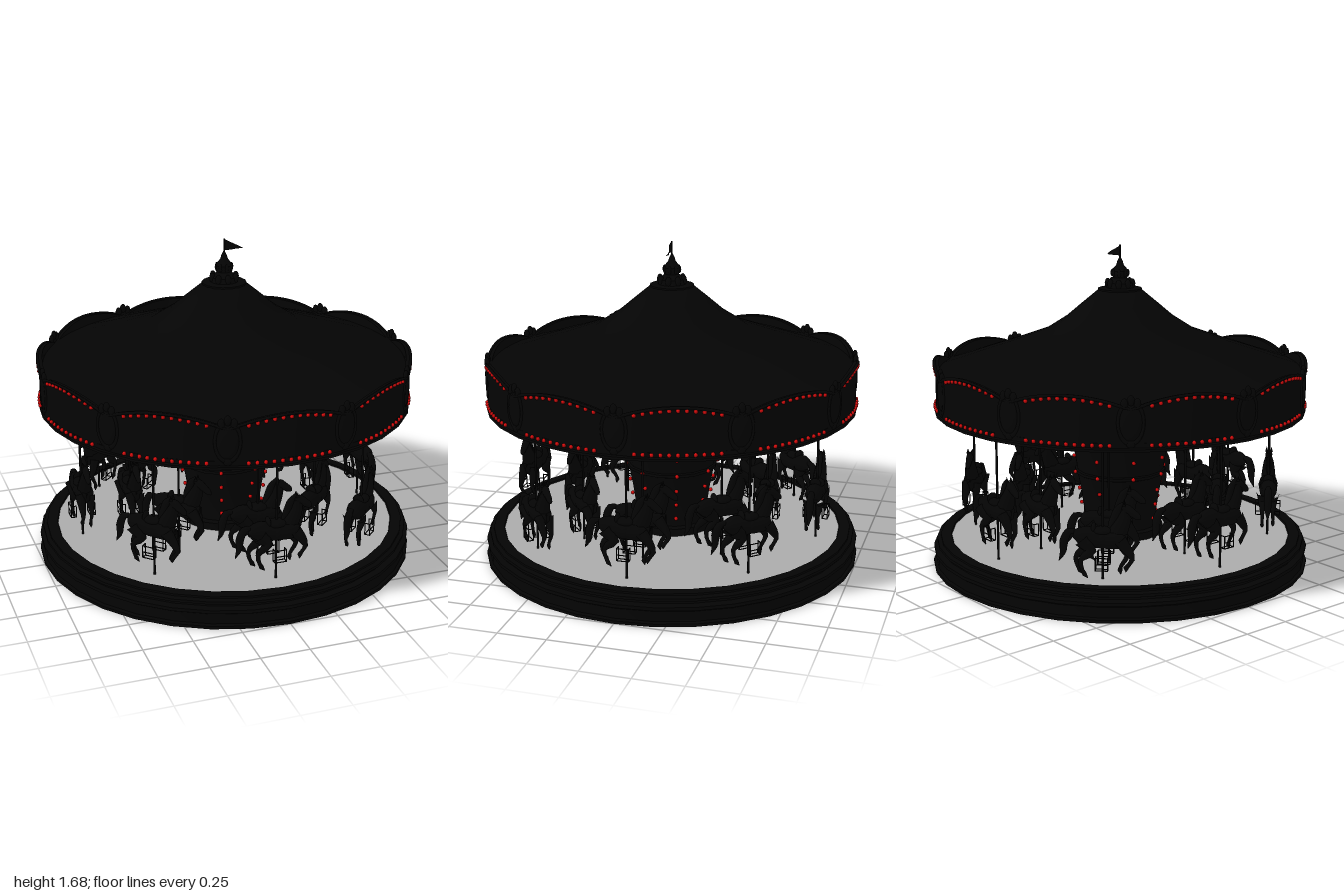
import * as THREE from 'three';
import { mergeGeometries, toCreasedNormals } from 'three/addons/utils/BufferGeometryUtils.js';

const dark = new THREE.MeshStandardMaterial({ color: 0x040404 });
const darkThin = new THREE.MeshStandardMaterial({ color: 0x040404, side: THREE.DoubleSide });
const red = new THREE.MeshStandardMaterial({ color: 0xe00c0c });
const grey = new THREE.MeshStandardMaterial({ color: 0xb0b0b0, side: THREE.DoubleSide });
const TAU = Math.PI * 2, PANELS = 10, STEP = TAU / PANELS, RIM = 0.965;

const add = (parent, name, geometry, material = dark) => {
  const mesh = new THREE.Mesh(geometry, material);
  mesh.name = name;
  parent.add(mesh);
  return mesh;
};
const merge = (list) => mergeGeometries(list.map((g) => (g.index ? g.toNonIndexed() : g)));
const lathe = (pts, seg = 32) =>
  toCreasedNormals(new THREE.LatheGeometry(pts.map(([r, y]) => new THREE.Vector2(r, y)), seg), 0.45);
const polar = (r, a, y) => new THREE.Vector3(r * Math.sin(a), y, r * Math.cos(a));
const box = (w, h, d, x, y, z) => new THREE.BoxGeometry(w, h, d).translate(x, y, z);
const blob = (sx, sy, sz, x, y, z) => new THREE.SphereGeometry(1, 12, 8).scale(sx, sy, sz).translate(x, y, z);

// Tapered tube through points [x, y, z, radius]
function limb(pts, flat = 1, rings = 10, sides = 8) {
  const z0 = pts[0][2];
  const curve = new THREE.CatmullRomCurve3(pts.map(([x, y, z]) => new THREE.Vector3(x, y, z)));
  const geo = new THREE.TubeGeometry(curve, rings, 1, sides);
  const pos = geo.attributes.position, v = new THREE.Vector3();
  for (let i = 0; i <= rings; i++) {
    const c = curve.getPointAt(i / rings);
    const t = curve.getUtoTmapping(i / rings) * (pts.length - 1);
    const k = Math.min(Math.floor(t), pts.length - 2);
    const r = THREE.MathUtils.lerp(pts[k][3], pts[k + 1][3], t - k);
    for (let j = 0; j <= sides; j++) {
      const n = i * (sides + 1) + j;
      v.fromBufferAttribute(pos, n).sub(c).multiplyScalar(r).add(c);
      pos.setXYZ(n, v.x, v.y, z0 + (v.z - z0) * flat);
    }
  }
  return geo;
}

// Galloping horse, heading +x, pole through the origin
function horseGeometry() {
  const parts = [
    // barrel, neck, head, mane, tail
    limb([[-0.145, 0, 0, 0.004], [-0.13, 0.008, 0, 0.034], [-0.085, 0.008, 0, 0.052], [0, -0.004, 0, 0.047],
      [0.07, 0.002, 0, 0.055], [0.105, 0.012, 0, 0.038], [0.12, 0.018, 0, 0.004]], 0.9, 16, 12),
    limb([[0.055, 0, 0, 0.05], [0.085, 0.06, 0, 0.044], [0.107, 0.115, 0, 0.032], [0.108, 0.165, 0, 0.01]], 0.8),
    limb([[0.088, 0.16, 0, 0.006], [0.113, 0.15, 0, 0.027], [0.145, 0.13, 0, 0.021],
      [0.172, 0.11, 0, 0.017], [0.184, 0.1, 0, 0.003]], 0.75),
    limb([[0.1, 0.18, 0, 0.008], [0.072, 0.145, 0, 0.02], [0.05, 0.085, 0, 0.022], [0.025, 0.04, 0, 0.006]], 0.6),
    limb([[-0.13, 0.03, 0, 0.01], [-0.165, 0.03, 0, 0.018], [-0.19, -0.02, 0, 0.022],
      [-0.195, -0.075, 0, 0.016], [-0.215, -0.12, 0, 0.002]]),
    // saddle, backrest, blanket
    blob(0.055, 0.02, 0.042, 0, 0.04, 0), blob(0.012, 0.03, 0.03, -0.045, 0.05, 0),
    blob(0.05, 0.046, 0.047, 0, -0.002, 0),
  ];
  for (const s of [-1, 1]) {
    const lift = s > 0 ? 0.03 : 0;
    const f = 0.026 * s, b = 0.028 * s;
    parts.push(
      limb([[0.085, 0, f, 0.034], [0.1 + lift, -0.06, f, 0.022], [0.115 + lift, -0.095, f, 0.013],
        [0.085 + lift * 1.5, -0.15 + lift, f, 0.009], [0.08 + lift, -0.18 + lift, f, 0.014],
        [0.085 + lift, -0.19 + lift, f, 0.002]], 0.8),
      limb([[-0.1, 0, b, 0.042], [-0.085 + lift, -0.055, b, 0.028], [-0.135 + lift, -0.105, b, 0.013],
        [-0.125 + lift, -0.16, b, 0.009], [-0.11 + lift, -0.185, b, 0.014], [-0.1 + lift, -0.195, b, 0.002]], 0.8),
      new THREE.ConeGeometry(0.009, 0.028, 6).translate(0.104, 0.18, 0.012 * s));
    // Wire foot rest
    for (const x of [-0.03, 0.03]) {
      for (const y of [-0.082, -0.145]) parts.push(box(0.004, 0.004, 0.03, x, y, 0.05 * s));
      for (const z of [0.037, 0.064]) parts.push(box(0.004, 0.066, 0.004, x, -0.114, z * s));
    }
    for (const y of [-0.082, -0.115, -0.145]) parts.push(box(0.06, 0.004, 0.004, 0, y, 0.064 * s));
    parts.push(box(0.06, 0.004, 0.004, 0, -0.145, 0.037 * s));
  }
  return merge(parts);
}

// Scalloped board height around the rim, one arch per panel
const panelOffset = (a) => a / STEP - Math.round(a / STEP);
const boardTop = (a) => 1.035 + 0.06 * (1 - (2 * panelOffset(a)) ** 2);

function boardGeometry() {
  const geo = new THREE.PlaneGeometry(1, 1, 160, 4), pos = geo.attributes.position;
  for (let i = 0; i < pos.count; i++) {
    const a = (pos.getX(i) + 0.5) * TAU;
    const k = Math.round((pos.getY(i) + 0.5) * 4) % 4;
    const p = polar(k === 1 || k === 2 ? RIM : RIM - 0.02, a, k === 2 || k === 3 ? boardTop(a) : 0.835);
    pos.setXYZ(i, p.x, p.y, p.z);
  }
  return toCreasedNormals(geo, 0.5);
}

export function createModel() {
  const model = new THREE.Group();
  const bulbs = [];
  const bulb = (p) => bulbs.push(new THREE.SphereGeometry(0.0105, 8, 5).translate(p.x, p.y, p.z));

  // Stepped platform, hollow underneath, with a floor seen through the central opening
  add(model, 'platform', lathe([[0.21, 0.14], [0.93, 0.14], [0.94, 0], [1, 0], [1, 0.015],
    [0.985, 0.022], [0.985, 0.075], [0.997, 0.083], [0.997, 0.1], [0.965, 0.108], [0.965, 0.118], [0.98, 0.124],
    [0.98, 0.138], [0.96, 0.146], [0.96, 0.156], [0.905, 0.156], [0.9, 0.145]]));
  add(model, 'floor', new THREE.CircleGeometry(0.91, 32).rotateX(-Math.PI / 2).translate(0, 0.148, 0), grey);

  // Flared centre column with mouldings
  const column = [[0.23, 0.15], [0.23, 0.19], [0.2, 0.195], [0.195, 0.27], [0.21, 0.37], [0.23, 0.475], [0.242, 0.48],
    [0.242, 0.495], [0.232, 0.5], [0.255, 0.64], [0.268, 0.7], [0.282, 0.708], [0.282, 0.725], [0.274, 0.73],
    [0.284, 0.79], [0.298, 0.8], [0.3, 0.86]];
  add(model, 'centreColumn', lathe(column, 16));
  const swags = [];
  for (let i = 0; i < 16; i++) {
    const a = (i * TAU) / 16;
    const arc = [-0.18, -0.09, 0, 0.09, 0.18].map((d) => polar(0.283, a + d, 0.745 + d * d * 1.1));
    swags.push(new THREE.TubeGeometry(new THREE.CatmullRomCurve3(arc), 8, 0.006, 5));
  }
  add(model, 'columnSwags', merge(swags));

  // Ceiling and tent roof
  add(model, 'ceiling', new THREE.RingGeometry(0.28, RIM - 0.012, 32).rotateX(Math.PI / 2).translate(0, 0.855, 0), darkThin);
  add(model, 'roof', new THREE.LatheGeometry([[0.955, 1.042], [0.85, 1.076], [0.72, 1.122], [0.59, 1.165], [0.4, 1.235],
    [0.28, 1.312], [0.2, 1.38], [0.11, 1.455], [0, 1.458]].map(([r, y]) => new THREE.Vector2(r, y)), 32), darkThin);

  // Finial and pennant
  add(model, 'finial', lathe([[0.105, 1.447], [0.115, 1.45], [0.115, 1.46], [0.072, 1.464], [0.068, 1.49], [0.052, 1.5],
    [0.036, 1.515], [0.046, 1.535], [0.046, 1.55], [0.03, 1.568], [0.02, 1.58], [0.014, 1.6], [0.004, 1.62],
    [0.004, 1.685], [0, 1.685]], 16));
  const knobs = [];
  for (let i = 0; i < 8; i++) {
    const low = polar(0.064, (i * TAU) / 8, 1.485), high = polar(0.04, (i * TAU) / 8, 1.54);
    knobs.push(blob(0.016, 0.026, 0.016, low.x, low.y, low.z), blob(0.01, 0.02, 0.01, high.x, high.y, high.z));
  }
  add(model, 'finialKnobs', merge(knobs));
  const flag = new THREE.PlaneGeometry(1, 1, 8, 1), fp = flag.attributes.position;
  for (let i = 0; i < fp.count; i++) {
    const u = fp.getX(i) + 0.5;
    fp.setXYZ(i, u * 0.105, fp.getY(i) > 0 ? 1.685 - 0.057 * u : 1.627, 0.006 * Math.sin(u * TAU));
  }
  flag.computeVertexNormals();
  add(model, 'flag', flag, darkThin);

  // Rounding boards, trims and shields
  add(model, 'roundingBoards', boardGeometry());
  add(model, 'lowerTrim', lathe([[0.945, 0.83], [0.975, 0.83], [0.975, 0.843], [0.968, 0.85], [0.968, 0.872], [0.945, 0.876]]));
  const rim = [];
  for (let i = 0; i < 120; i++) rim.push(polar(RIM + 0.004, (i * TAU) / 120, boardTop((i * TAU) / 120) - 0.002));
  add(model, 'archTrim', new THREE.TubeGeometry(new THREE.CatmullRomCurve3(rim, true), 160, 0.008, 5, true));
  const shield = merge([
    blob(0.055, 0.09, 0.014, 0, 0.97, 0),
    new THREE.TorusGeometry(0.06, 0.008, 6, 24).scale(1, 1.65, 1).translate(0, 0.97, 0),
    ...[-0.03, 0, 0.03].map((x) => blob(0.018, 0.026, 0.013, x, 1.075 - Math.abs(x) * 0.5, 0)),
    blob(0.022, 0.018, 0.012, 0, 0.868, 0),
  ]);
  for (let i = 0; i < PANELS; i++) {
    const a = i * STEP;
    const s = add(model, 'shield', shield);
    s.position.copy(polar(RIM, a + STEP / 2, 0));
    s.rotation.y = a + STEP / 2;
    for (let j = -5; j <= 5; j++) {
      const b = a + j * 0.0425;
      bulb(polar(RIM + 0.003, b, boardTop(b) - 0.018));
      bulb(polar(RIM + 0.004, b, 0.861));
    }
  }

  // Bulbs on the column ribs and ceiling spokes
  for (let i = 0; i < 8; i++) {
    const a = ((i + 0.5) * TAU) / 8;
    for (const [r, y] of [[0.202, 0.24], [0.212, 0.32], [0.224, 0.4], [0.246, 0.49], [0.252, 0.58], [0.269, 0.66], [0.296, 0.79]])
      bulb(polar(r, a, y));
    for (let j = 0; j < 7; j++) bulb(polar(0.38 + j * 0.086, a, 0.85));
  }
  add(model, 'bulbs', merge(bulbs), red);

  // Two rings of eight horses on poles
  const horse = horseGeometry(), pole = new THREE.CylinderGeometry(0.006, 0.006, 0.71, 8);
  for (const [ring, radius] of [0.79, 0.525].entries()) {
    for (let i = 0; i < 8; i++) {
      const a = (i * TAU) / 8;
      const drop = i % 4 === 1 ? 0.055 : ring && i % 2 === 0 ? 0.03 : 0;
      const h = add(model, 'horse', horse);
      h.position.copy(polar(radius, a, 0.41 - drop));
      h.rotation.y = a;
      add(model, 'pole', pole).position.copy(polar(radius, a, 0.5));
    }
  }
  return model;
}
